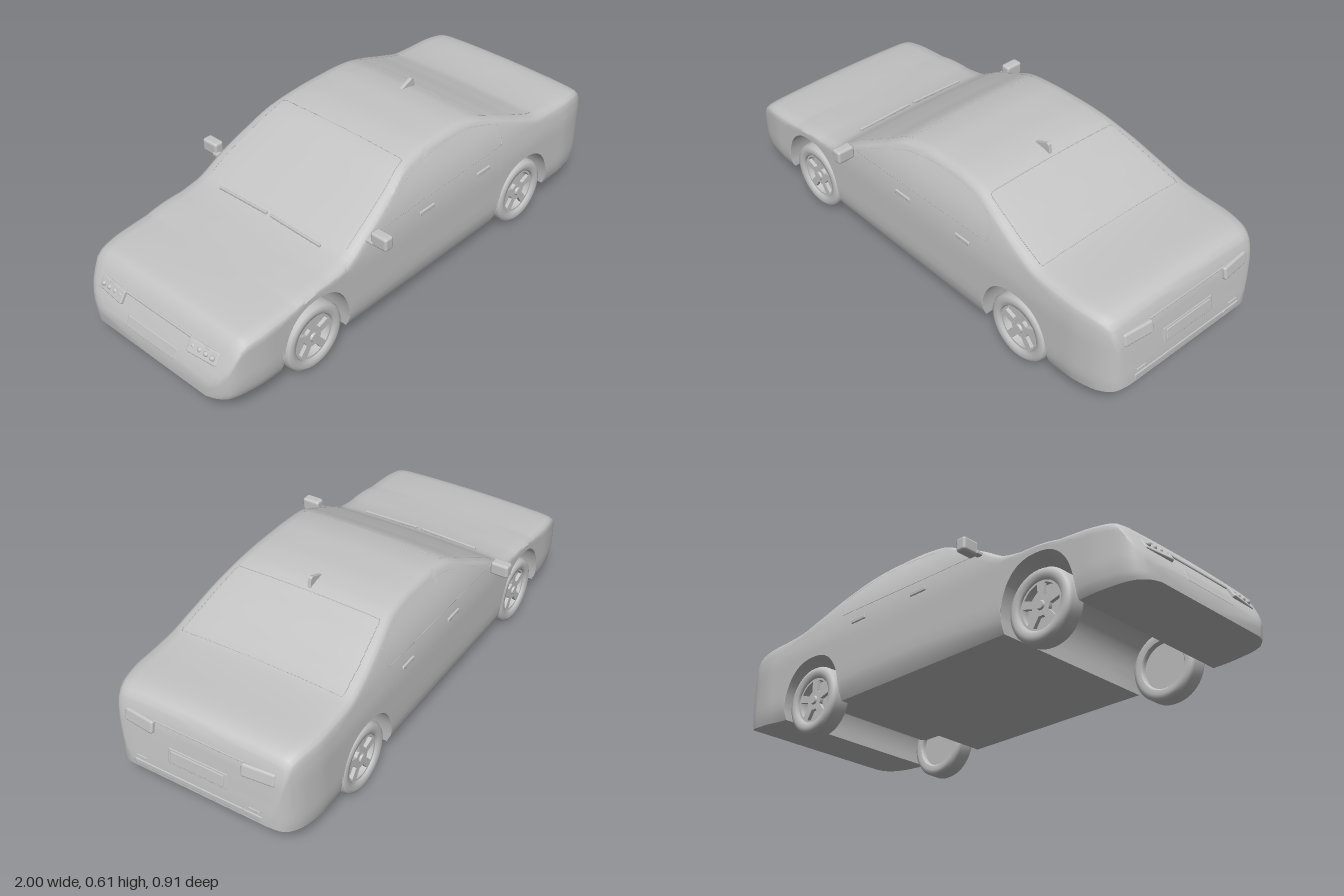
import * as THREE from 'three';
import { toCreasedNormals } from 'three/addons/utils/BufferGeometryUtils.js';
import { RoundedBoxGeometry } from 'three/addons/geometries/RoundedBoxGeometry.js';

// Smooth curve through [x, y] keys that never overshoots
function curve(keys) {
  const slope = i => (keys[i + 1][1] - keys[i][1]) / (keys[i + 1][0] - keys[i][0]);
  const tangent = i => {
    if (i === 0) return slope(0);
    if (i === keys.length - 1) return slope(i - 1);
    const a = slope(i - 1), b = slope(i);
    return a * b <= 0 ? 0 : (2 * a * b) / (a + b);
  };
  return x => {
    if (x <= keys[0][0]) return keys[0][1];
    let i = 0;
    while (i < keys.length - 1 && x > keys[i + 1][0]) i++;
    if (i === keys.length - 1) return keys[i][1];
    const h = keys[i + 1][0] - keys[i][0], t = (x - keys[i][0]) / h, u = 1 - t;
    return keys[i][1] * u * u * (1 + 2 * t) + keys[i + 1][1] * t * t * (3 - 2 * t)
      + h * (tangent(i) * t * u * u - tangent(i + 1) * t * t * u);
  };
}

// Centre line of the bonnet, roof and boot (nose at -x)
const topY = curve([[-1, 0.165], [-0.985, 0.2], [-0.95, 0.26], [-0.915, 0.315], [-0.88, 0.33], [-0.6, 0.357],
  [-0.445, 0.38], [-0.33, 0.444], [-0.2, 0.513], [-0.065, 0.577], [0.065, 0.593], [0.18, 0.594], [0.28, 0.585],
  [0.4, 0.545], [0.545, 0.487], [0.65, 0.454], [0.75, 0.446], [0.865, 0.442], [0.92, 0.434], [0.947, 0.417],
  [0.973, 0.353], [0.985, 0.27], [0.997, 0.185]]);
// Lower edge of the body without the wheel arches
const baseY = curve([[-1, 0.1], [-0.74, 0.092], [-0.44, 0.083], [0.4, 0.083], [0.717, 0.095],
  [0.85, 0.108], [0.92, 0.118], [0.973, 0.132], [0.997, 0.15]]);
// Half width by height, and taper of the plan towards the ends
const sideZ = curve([[0.082, 0.357], [0.12, 0.374], [0.18, 0.38], [0.33, 0.38], [0.42, 0.37],
  [0.5, 0.347], [0.56, 0.318], [0.6, 0.3]]);
const taper = curve([[-1, 0.73], [-0.99, 0.81], [-0.97, 0.89], [-0.95, 0.93], [-0.9, 0.97], [-0.8, 1],
  [0.8, 1], [0.9, 0.965], [0.95, 0.915], [0.98, 0.85], [0.99, 0.8], [0.997, 0.73]]);

const ARCHES = [{ x: -0.59, top: 0.315 }, { x: 0.552, top: 0.302 }];
const ARCH_R = 0.161;

function bottomY(x) {
  let y = baseY(x);
  for (const a of ARCHES) {
    const u = Math.abs(x - a.x) / ARCH_R;
    if (u < 1) y = Math.max(y, 0.09 + (a.top - 0.09) * Math.pow(1 - Math.pow(u, 2.4), 1 / 2.4));
  }
  return y;
}
const edgeY = x => topY(x) - Math.min(0.03, (topY(x) - bottomY(x)) * 0.5);
const halfWidth = (x, y) => sideZ(y) * taper(x);

// Cross-section ring: floor, flank, rounded shoulder and crowned top
function section(x) {
  const T = topY(x), B = bottomY(x), E = edgeY(x), k = T - E, w = halfWidth(x, E);
  const half = [[halfWidth(x, B) * 0.5, B]];
  for (let i = 0; i <= 12; i++) {
    const y = B + (E - B) * i / 12;
    half.push([halfWidth(x, y), y]);
  }
  half.push([w - 0.005, E + k * 0.33], [w - 0.018, E + k * 0.6], [w * 0.86, E + k * 0.75],
    [w * 0.6, E + k * 0.88], [w * 0.3, E + k * 0.97]);
  return [[0, B], ...half, [0, T], ...half.slice().reverse().map(([z, y]) => [-z, y])];
}

function bodyGeometry() {
  const xs = [];
  for (let i = 0; i <= 100; i++) xs.push(-1 + i * 0.01997);
  for (const x of [-0.995, -0.99, -0.985, 0.94, 0.953, 0.966, 0.973, 0.985, 0.991]) xs.push(x);
  for (const a of ARCHES)
    for (let i = 0; i <= 32; i++) xs.push(a.x - ARCH_R * Math.cos(Math.PI * i / 32));
  xs.sort((a, b) => a - b);
  const stations = xs.filter((x, i) => i === 0 || x - xs[i - 1] > 1e-5);
  const pos = [], idx = [];
  let n = 0;
  stations.forEach(x => {
    const ring = section(x);
    n = ring.length;
    ring.forEach(([z, y]) => pos.push(x, y, z));
  });
  const last = (stations.length - 1) * n;
  for (let i = 0; i < stations.length - 1; i++)
    for (let j = 0; j < n; j++) {
      const a = i * n + j, d = i * n + (j + 1) % n;
      idx.push(a, a + n, d + n, a, d + n, d);
    }
  for (let j = 1; j < n - 1; j++) idx.push(0, j, j + 1, last, last + j + 1, last + j);
  const g = new THREE.BufferGeometry();
  g.setAttribute('position', new THREE.Float32BufferAttribute(pos, 3));
  g.setIndex(idx);
  return toCreasedNormals(g, 0.6);
}

export function createModel() {
  const car = new THREE.Group();
  car.name = 'car';
  const grey = new THREE.MeshStandardMaterial({ color: 0xc4c4c4 });
  grey.name = 'plain light grey';
  const add = (name, geo, x = 0, y = 0, z = 0, parent = car) => {
    const m = new THREE.Mesh(geo, grey);
    m.name = name;
    m.position.set(x, y, z);
    parent.add(m);
    return m;
  };
  const box = (name, w, h, d, x, y, z, tilt = 0, turn = 0) => {
    const m = add(name, new RoundedBoxGeometry(w, h, d, 2, Math.min(w, h, d) * 0.25), x, y, z);
    m.rotation.set(0, turn, tilt);
    return m;
  };
  const seam = (name, pts, closed = false) => {
    const path = new THREE.CatmullRomCurve3(pts.map(p => new THREE.Vector3(...p)), closed, 'catmullrom', 0.2);
    return add(name, new THREE.TubeGeometry(path, 100, 0.0015, 5, closed));
  };

  add('body', bodyGeometry());
  box('rearUnderbody', 0.25, 0.15, 0.56, 0.5, 0.22, 0);

  // Wheels: tyre, rim with five openings, hub, brake disc
  const tyre = new THREE.LatheGeometry([[0.094, -0.038], [0.112, -0.0415], [0.126, -0.036], [0.133, -0.024], [0.133, 0.024],
    [0.126, 0.036], [0.112, 0.0415], [0.094, 0.038], [0.088, 0.03], [0.088, -0.03], [0.094, -0.038]]
    .map(p => new THREE.Vector2(...p)), 48);
  const face = new THREE.Shape().absarc(0, 0, 0.092, 0, Math.PI * 2);
  for (let i = 0; i < 5; i++) {
    const a = Math.PI / 2 + (i + 0.5) * Math.PI * 0.4;
    const hole = new THREE.Path();
    hole.absarc(0, 0, 0.08, a - 0.44, a + 0.44, false);
    hole.absarc(0, 0, 0.038, a + 0.28, a - 0.28, true);
    hole.closePath();
    face.holes.push(hole);
  }
  const rim = new THREE.ExtrudeGeometry(face, { depth: 0.014, bevelEnabled: false, curveSegments: 32 });
  const disc = new THREE.CylinderGeometry(0.088, 0.088, 0.012, 40);
  const hub = new THREE.CylinderGeometry(0.014, 0.018, 0.008, 20);
  for (const x of [-0.588, 0.556])
    for (const s of [1, -1]) {
      const wheel = new THREE.Group();
      wheel.name = (x < 0 ? 'front' : 'rear') + 'Wheel';
      wheel.position.set(x, 0.134, s * 0.328);
      if (s < 0) wheel.rotation.y = Math.PI;
      car.add(wheel);
      add('tyre', tyre, 0, 0, 0, wheel).rotation.x = Math.PI / 2;
      add('rim', rim, 0, 0, 0.014, wheel);
      add('brakeDisc', disc, 0, 0, -0.015, wheel).rotation.x = Math.PI / 2;
      add('hub', hub, 0, 0, 0.031, wheel).rotation.x = Math.PI / 2;
    }

  // Seams around the windscreen and rear window
  const onTop = (x, s) => {
    const k = topY(x) - edgeY(x);
    return [x, topY(x) - k * (0.34 * Math.abs(s) ** 2.5) - 0.0005, s * halfWidth(x, edgeY(x))];
  };
  const glass = (name, x0, x1, closed) => {
    const pts = [], S = 0.89, N = 8;
    for (let i = 0; i <= N; i++) pts.push(onTop(x0 + (x1 - x0) * i / N, S));
    for (let i = 1; i <= N; i++) pts.push(onTop(x1, S - 2 * S * i / N));
    for (let i = 1; i <= N; i++) pts.push(onTop(x1 + (x0 - x1) * i / N, -S));
    if (closed) for (let i = 1; i < N; i++) pts.push(onTop(x0, -S + 2 * S * i / N));
    seam(name, pts, closed);
  };
  glass('windscreenSeam', -0.4, -0.07, false);
  glass('rearWindowSeam', 0.63, 0.34, true);

  const outline = [[-0.3, 0.42], [-0.2, 0.48], [-0.05, 0.54], [0.1, 0.56], [0.25, 0.555], [0.35, 0.53],
    [0.405, 0.515], [0.41, 0.5], [0.41, 0.45], [0.405, 0.433], [0.38, 0.43], [0.2, 0.427], [0, 0.423], [-0.2, 0.42]];
  for (const s of [1, -1]) {
    // Side windows, door handles, mirrors
    seam('sideWindowSeam', outline.map(([x, y]) => {
      const h = Math.min(y, edgeY(x) - 0.003);
      return [x, h, s * (halfWidth(x, h) - 0.0008)];
    }), true);
    box('frontDoorHandle', 0.08, 0.016, 0.014, -0.03, 0.376, s * 0.375);
    box('rearDoorHandle', 0.075, 0.016, 0.014, 0.29, 0.376, s * 0.375);
    box('mirror', 0.042, 0.053, 0.073, -0.317, 0.426, s * 0.419);
    box('mirrorArm', 0.025, 0.014, 0.05, -0.33, 0.41, s * 0.372);
    // Headlights with paired lamps, and tail lights
    box('headlight', 0.022, 0.05, 0.13, -0.957, 0.238, s * 0.23, -0.53, s * 0.1);
    for (let i = 0; i < 4; i++)
      add('headlamp', new THREE.SphereGeometry(0.01, 12, 8), -0.963, 0.243, s * (0.185 + i * 0.03));
    box('tailLight', 0.036, 0.05, 0.125, 0.966, 0.34, s * 0.238, 0.2, s * -0.1);
    box('rearReflector', 0.014, 0.008, 0.045, 0.991, 0.197, s * 0.23, 0.1);
    // Wipers
    const wiper = box('wiper', 0.01, 0.01, 0.24, -0.44, 0.385, s * 0.13);
    wiper.rotation.x = s * 0.03;
  }

  // Front grille and rear trim
  box('bonnetEdge', 0.008, 0.008, 0.5, -0.952, 0.259, 0);
  box('grille', 0.014, 0.045, 0.25, -0.987, 0.18, 0, -0.35);
  box('rearPlateFrame', 0.012, 0.062, 0.24, 0.983, 0.255, 0, 0.14);
  box('rearPlate', 0.012, 0.046, 0.215, 0.986, 0.255, 0, 0.14);
  box('bootSeam', 0.008, 0.005, 0.36, 0.969, 0.362, 0);
  box('rearBumperStrip', 0.016, 0.023, 0.52, 0.992, 0.172, 0);
  add('towCover', new THREE.CylinderGeometry(0.013, 0.013, 0.008, 20), 0.998, 0.172, -0.19).rotation.z = Math.PI / 2;

  // Roof antenna fin
  const fin = new THREE.Shape([[0.25, 0.585], [0.33, 0.565], [0.322, 0.606], [0.312, 0.61]].map(p => new THREE.Vector2(...p)));
  add('antennaFin', new THREE.ExtrudeGeometry(fin, { depth: 0.014, bevelEnabled: false }), 0, 0, -0.007);

  return car;
}
